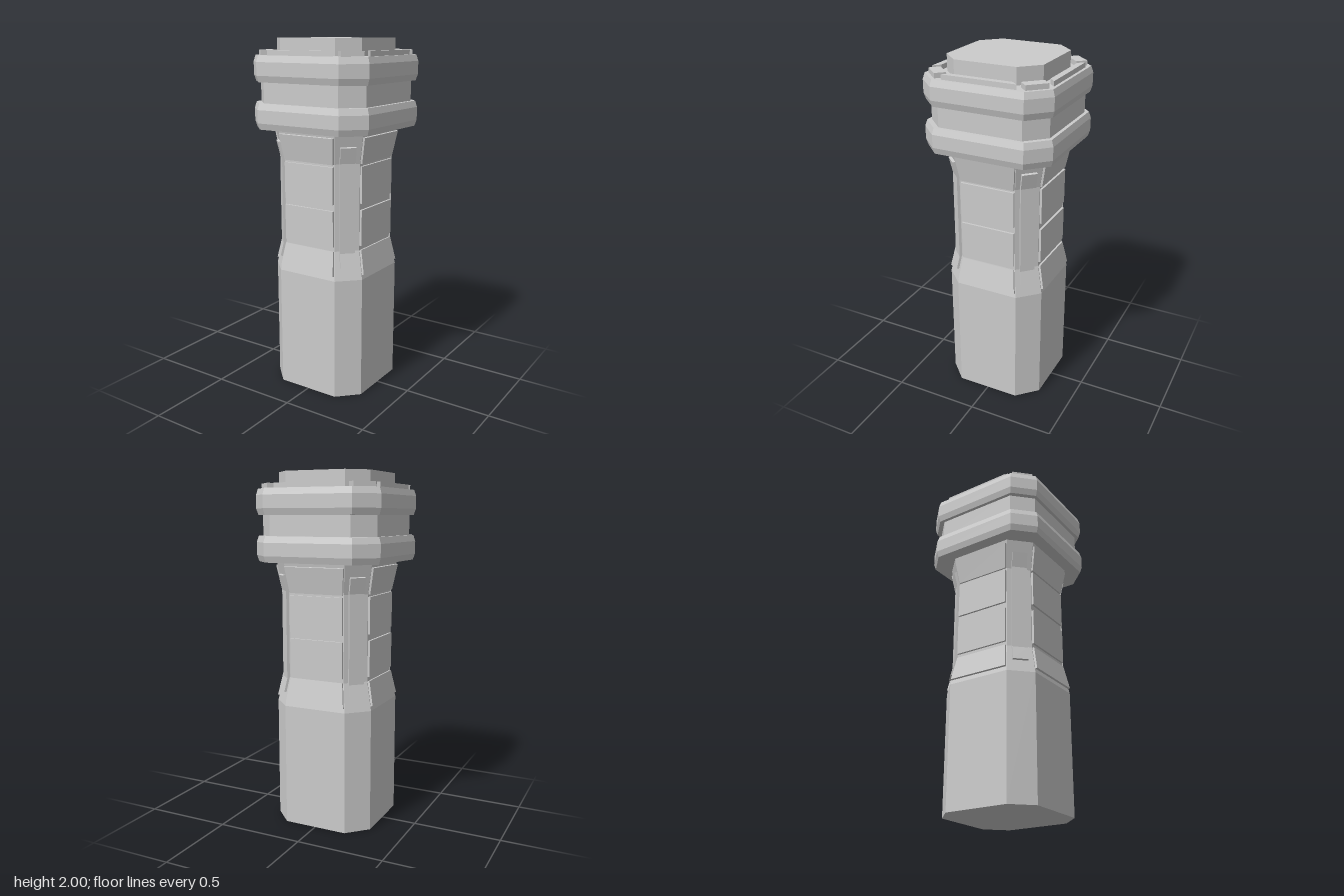
import * as THREE from 'three';

const material = new THREE.MeshStandardMaterial({ color: 0xcccccc, flatShading: true });

// Chamfered square: a = half width, b = half length of the straight sides
const octagon = (a, b) => [[b, a], [a, b], [a, -b], [b, -a], [-b, -a], [-a, -b], [-a, b], [-b, a]];

// Closed octagonal body through sections [y, a, b], listed from bottom to top
function loft(sections) {
  const rings = sections.map(([y, a, b]) => octagon(a, b).map(([x, z]) => [x, y, z]));
  const pos = [];
  const tri = (...pts) => pts.forEach((p) => pos.push(...p));
  for (let i = 0; i < rings.length - 1; i++) {
    for (let j = 0; j < 8; j++) {
      const k = (j + 1) % 8, lo = rings[i], hi = rings[i + 1];
      tri(lo[j], lo[k], hi[k]);
      tri(lo[j], hi[k], hi[j]);
    }
  }
  const bottom = rings[0], top = rings[rings.length - 1];
  for (let j = 1; j < 7; j++) {
    tri(bottom[0], bottom[j + 1], bottom[j]);
    tri(top[0], top[j], top[j + 1]);
  }
  const geo = new THREE.BufferGeometry();
  geo.setAttribute('position', new THREE.Float32BufferAttribute(pos, 3));
  geo.computeVertexNormals();
  return geo;
}

// Thin plate facing +z that follows points [y, distance, halfWidth]
function plate(points, thickness) {
  const n = points.length - 1;
  const geo = new THREE.BoxGeometry(2, 1, 1, 1, n, 1);
  const p = geo.attributes.position;
  for (let i = 0; i < p.count; i++) {
    const row = Math.round((p.getY(i) + 0.5) * n);
    const [y, d, w] = points[row];
    const before = points[Math.max(row - 1, 0)], after = points[Math.min(row + 1, n)];
    const dy = after[0] - before[0], dd = after[1] - before[1], len = Math.hypot(dy, dd);
    const t = p.getZ(i) > 0 ? thickness : -0.01;
    p.setXYZ(i, p.getX(i) * w, y - (dd / len) * t, d + (dy / len) * t);
  }
  geo.computeVertexNormals();
  return geo;
}

// Flat tile lying on the rim, tapering from outer to inner edge
function tile(outer, outerHalf, inner, innerHalf) {
  const shape = new THREE.Shape([[-outerHalf, -outer], [outerHalf, -outer], [innerHalf, -inner], [-innerHalf, -inner]]
    .map(([x, y]) => new THREE.Vector2(x, y)));
  return new THREE.ExtrudeGeometry(shape, { depth: 0.035, bevelEnabled: false }).rotateX(-Math.PI / 2).translate(0, 1.901, 0);
}

export function createModel() {
  const group = new THREE.Group();
  const add = (name, geo, angle = 0) => {
    const mesh = new THREE.Mesh(geo, material);
    mesh.name = name;
    mesh.rotation.y = angle;
    group.add(mesh);
  };

  // Main stacked bodies
  add('shaft', loft([[0, 0.296, 0.186], [0.7, 0.296, 0.186], [0.86, 0.263, 0.165],
    [1.345, 0.263, 0.165], [1.52, 0.296, 0.186]]));
  add('neck', loft([[1.64, 0.345, 0.24], [1.78, 0.345, 0.24]]));
  add('cap', loft([[1.9, 0.276, 0.176], [2, 0.276, 0.176]]));
  for (const [name, y] of [['lowerCollar', 1.512], ['upperCollar', 1.767]]) {
    add(name, loft([[y, 0.364, 0.258], [y + 0.035, 0.375, 0.263],
      [y + 0.107, 0.375, 0.263], [y + 0.142, 0.364, 0.258]]));
  }

  // Face panels and corner strips around the grip
  const panels = {
    lowerFlarePanel: [[0.725, 0.291, 0.179], [0.86, 0.263, 0.161]],
    lowerGripPanel: [[0.885, 0.263, 0.161], [1.088, 0.263, 0.161]],
    upperGripPanel: [[1.125, 0.263, 0.161], [1.33, 0.263, 0.161]],
    upperFlarePanel: [[1.345, 0.263, 0.161], [1.49, 0.29, 0.179]],
  };
  const strip = [[0.77, 0.323, 0.043], [0.85, 0.304, 0.043], [1.35, 0.304, 0.043], [1.44, 0.325, 0.043]];

  for (let i = 0; i < 4; i++) {
    const side = i * Math.PI / 2, corner = side + Math.PI / 4;
    for (const name in panels) add(name, plate(panels[name], 0.012), side);
    add('cornerStrip', plate(strip, 0.014), corner);
    add('sideRimTile', tile(0.347, 0.211, 0.312, 0.175), side);
    add('cornerRimTile', tile(0.421, 0.061, 0.357, 0.061), corner);
  }
  return group;
}
